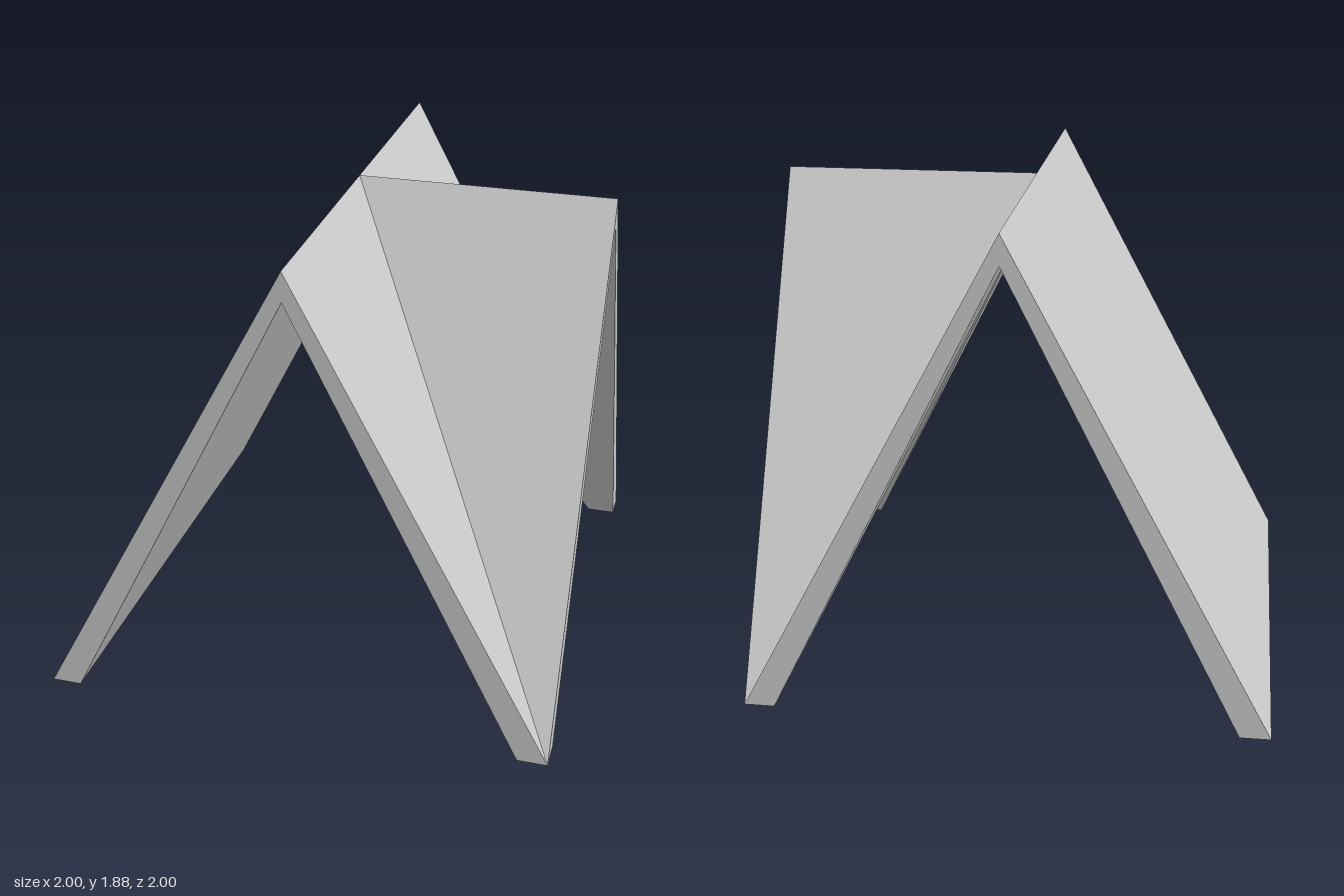
import * as THREE from 'three';

const H = 1.88;   // outer ridge height
const h = 1.765;  // inner ridge height
const w = 0.883;  // inner half span

const material = new THREE.MeshStandardMaterial({ color: 0xcccccc, flatShading: true });

// Flat-faced geometry from convex polygons; flip mirrors it across z = 0.
function fromFaces(faces, flip) {
  const pos = [];
  for (const face of faces) {
    const f = flip ? face.map(([x, y, z]) => [x, y, -z]).reverse() : face;
    for (let i = 1; i < f.length - 1; i++) pos.push(...f[0], ...f[i], ...f[i + 1]);
  }
  const g = new THREE.BufferGeometry();
  g.setAttribute('position', new THREE.Float32BufferAttribute(pos, 3));
  g.computeVertexNormals();
  return g;
}

// Corner where the main gable meets the cross gable, joined along a valley
function valleyFaces() {
  const A = [0, H, 0], B = [0, H, 1], C = [1, 0, 1], D = [1, H, 0];
  const a = [0, h, 0], b = [0, h, 1], d = [1, h, 0];
  const c = [w, 0, w], cFront = [w, 0, 1], cSide = [1, 0, w];
  return [
    [A, B, C], [A, C, D],                     // outer slopes
    [a, c, cFront, b], [a, d, cSide, c],      // inner slopes
    [B, b, cFront, C], [D, C, cSide, d],      // gable end edges
    [C, cFront, c, cSide],                    // foot
  ];
}

export function createModel() {
  const group = new THREE.Group();
  group.name = 'crossGableRoof';

  const add = (name, geometry) => {
    const mesh = new THREE.Mesh(geometry, material);
    mesh.name = name;
    group.add(mesh);
  };

  // Full-length slope on the plain side
  const profile = new THREE.Shape([[-1, 0], [-w, 0], [0, h], [0, H]].map(p => new THREE.Vector2(...p)));
  const slope = new THREE.ExtrudeGeometry(profile, { depth: 2, bevelEnabled: false });
  slope.translate(0, 0, -1);
  add('plainSlope', slope);

  // Two mirrored valley corners forming the cross gable
  add('frontValleyCorner', fromFaces(valleyFaces(), false));
  add('backValleyCorner', fromFaces(valleyFaces(), true));

  return group;
}
